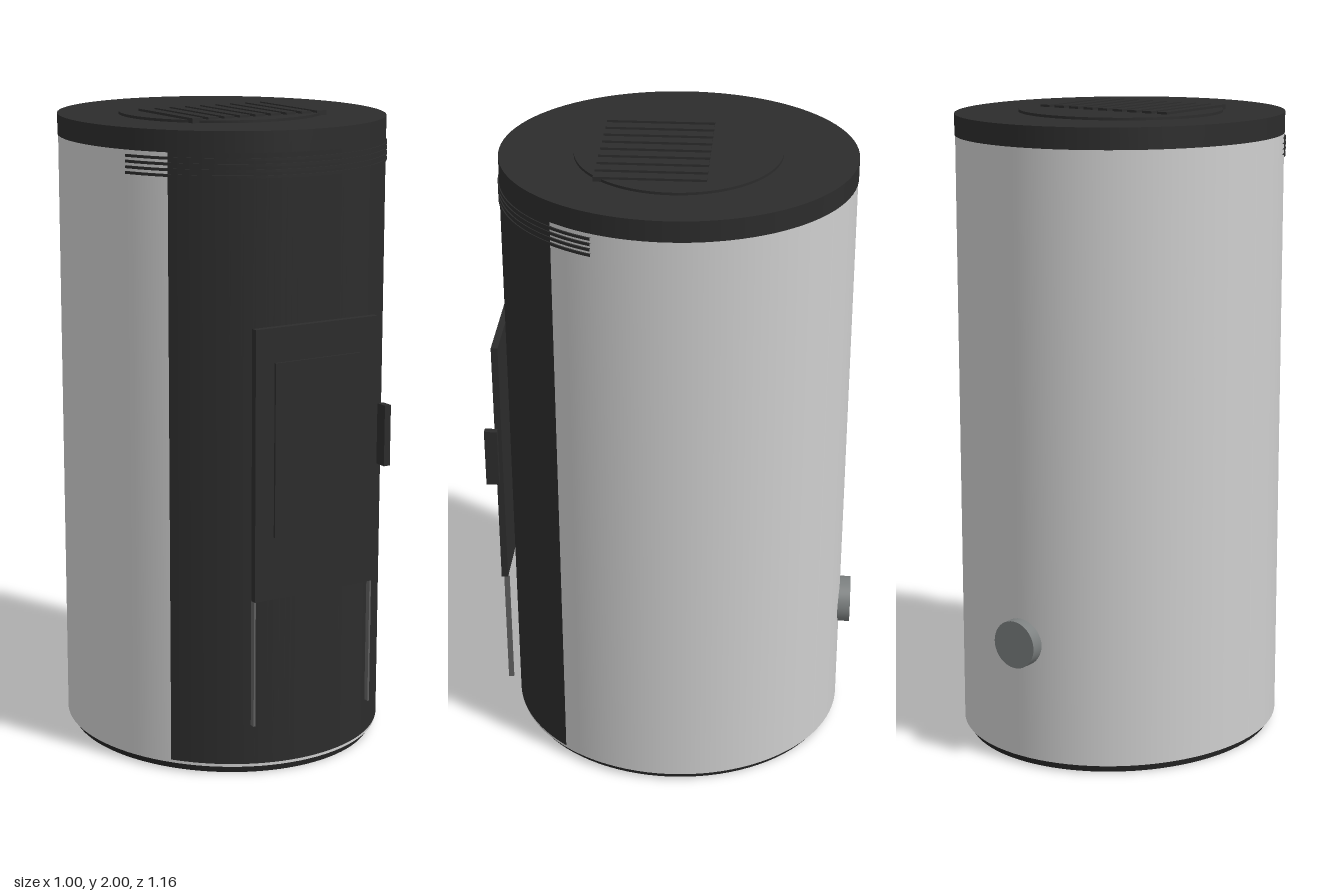
import * as THREE from 'three';

const CZ = -0.0075; // centre of the oval body
const RX = 0.5, RZ = 0.54;

export function createModel() {
  const model = new THREE.Group();
  model.name = 'stove';
  const mat = (name, color) => {
    const m = new THREE.MeshStandardMaterial({ color });
    m.name = name;
    return m;
  };
  const silver = mat('silver shell', 0xcfcfcf);
  const black = mat('charcoal steel', 0x2c2c2c);
  const base = mat('base black', 0x222222);
  const grey = mat('pipe grey', 0x7c8080);
  const trim = mat('trim grey', 0x606060);

  const add = (name, geometry, material) => {
    const mesh = new THREE.Mesh(geometry, material);
    mesh.name = name;
    model.add(mesh);
    return mesh;
  };
  // Upright oval drum between two heights, optionally only a sector about +z
  const oval = (name, rx, rz, y0, y1, material, half = Math.PI, open = false) => {
    const g = new THREE.CylinderGeometry(1, 1, y1 - y0, half < 3 ? 48 : 96, 1, open, -half, 2 * half);
    g.scale(rx, 1, rz);
    g.translate(0, (y0 + y1) / 2, CZ);
    return add(name, g, material);
  };
  const box = (name, x0, x1, y0, y1, z0, z1, material) => {
    const g = new THREE.BoxGeometry(x1 - x0, y1 - y0, z1 - z0);
    g.translate((x0 + x1) / 2, (y0 + y1) / 2, (z0 + z1) / 2);
    return add(name, g, material);
  };

  // Body drum
  oval('basePlinth', 0.48, 0.52, 0, 0.026, base);
  oval('shell', RX - 0.002, RZ - 0.002, 0.025, 1.925, silver);
  oval('frontPanel', RX, RZ, 0.035, 1.922, black, Math.asin(0.77), true);
  oval('topCap', RX, RZ, 1.92, 1.985, black);

  // Vent slats wrapping the front below the cap
  for (let i = 0; i < 4; i++) {
    const y = 1.853 + i * 0.0167;
    oval('ventSlat', RX + 0.003, RZ + 0.004, y - 0.004, y + 0.004, black, 1.15);
  }

  // Top plate with grille bars
  oval('topPlate', 0.32, 0.314, 1.985, 1.993, black);
  for (let i = -4; i <= 4; i++) {
    const x = i * 0.055;
    box('grilleBar', x - 0.0175, x + 0.0175, 1.985, 2, -0.105, 0.227, black);
  }

  // Fire door, window and handle
  box('door', -0.215, 0.215, 0.58, 1.415, 0.532, 0.553, black);
  box('doorWindow', -0.15, 0.15, 0.775, 1.31, 0.552, 0.56, black);
  box('doorHandle', 0.228, 0.25, 0.95, 1.14, 0.541, 0.581, black);

  // Trim strips below the door
  for (const s of [-1, 1]) {
    const x = s * 0.21;
    box('trimStrip', x - 0.003, x + 0.003, 0.18, 0.58, 0.528, 0.545, trim);
  }

  // Rear flue stub
  const pipe = new THREE.CylinderGeometry(0.075, 0.075, 0.08, 40);
  pipe.rotateX(Math.PI / 2);
  pipe.translate(0, 0.4, -0.54);
  add('fluePipe', pipe, grey);

  return model;
}
